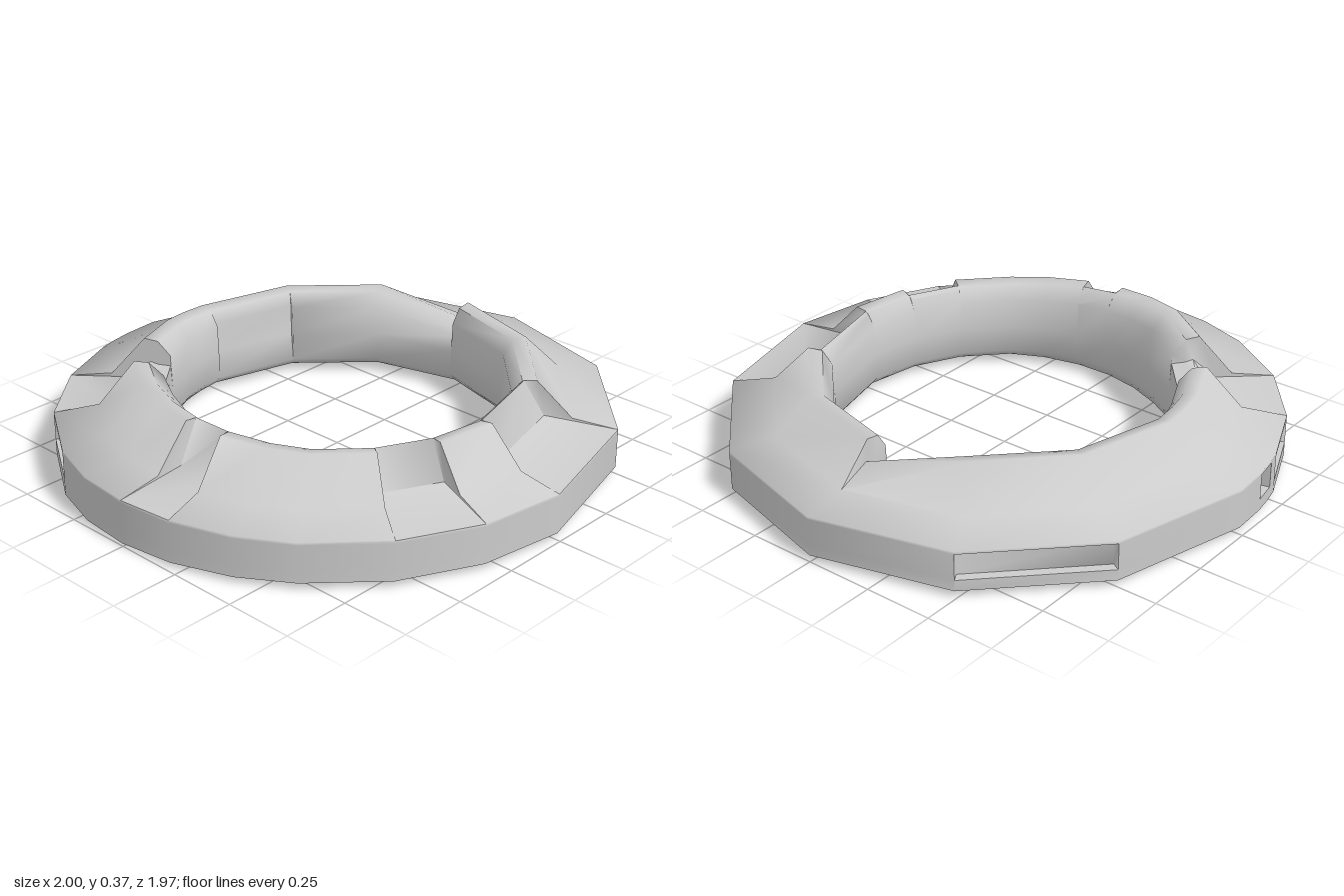
import * as THREE from 'three';
import { toCreasedNormals } from 'three/addons/utils/BufferGeometryUtils.js';

// Cross-section (radius, height): outer wall, sloped top, inner wall, underside
const PROFILE = [
  [1, 0.03], [1, 0.07], [1, 0.07], [1, 0.165], [1, 0.165], [1, 0.175],
  [0.84, 0.2], [0.71, 0.33], [0.66, 0.322], [0.625, 0.27], [0.62, 0.16],
  [0.62, 0.06], [0.645, 0.032], [0.8, 0.03], [1, 0.03],
];

// Offsets (radius, height) that each kind of recess applies to profile points
const RECESS = {
  panel: { 6: [-0.1, 0], 7: [-0.045, -0.005], 8: [-0.01, -0.01] },
  notch: { 6: [-0.06, -0.01], 7: [-0.02, -0.09], 8: [0, -0.09], 9: [0, -0.04] },
  slot: { 2: [-0.035, 0], 3: [-0.035, 0] },
  inner: { 9: [0.025, 0], 10: [0.025, 0] },
  twist: { 7: [0.01, -0.08], 8: [0.03, -0.1], 9: [0.02, -0.06] },
};

// Sectors: start and end angle from the front toward -x, recesses at start and end
const SECTORS = [
  [0, 18], [18, 35.5, ['panel']], [35.5, 53], [53, 65], [65, 78],
  [78, 90, ['panel']], [90, 102], [102, 114], [114, 131, ['slot']],
  [131, 148.5, ['notch']], [148.5, 164, ['slot']], [164, 167],
  [167, 172, ['slot']], [172, 180], [180, 210, ['inner']],
  [210, 240, ['slot']], [240, 270, [], ['twist']], [270, 300],
  [300, 330], [330, 360, ['panel']],
];

// The ring is slightly shallower than wide
const DEPTH = 0.987;

// The ring swells gently on one side
function swell(angle) {
  if (angle < 55 || angle > 180) return 0;
  return angle < 114 ? (angle - 55) / 59 : (180 - angle) / 66;
}

function section(angle, recesses) {
  const a = THREE.MathUtils.degToRad(angle);
  const s = swell(angle);
  return PROFILE.map(([r, y], j) => {
    let radius = r, height = y;
    for (const name of recesses) {
      const offset = RECESS[name][j];
      if (offset) { radius += offset[0]; height += offset[1]; }
    }
    if (r < 0.65) radius -= 0.02 * s;
    if (y > 0.25) height += 0.04 * s;
    if (y < 0.05) height -= 0.025 * s;
    return new THREE.Vector3(-radius * Math.sin(a), height, radius * Math.cos(a) * DEPTH);
  });
}

// Skins the closed ring; paired sections at one angle form the step walls
function loft(sections) {
  const positions = [];
  const ab = new THREE.Vector3(), ac = new THREE.Vector3();
  const triangle = (a, b, c) => {
    ab.subVectors(b, a);
    ac.subVectors(c, a);
    if (ab.cross(ac).length() < 1e-7) return;
    for (const p of [a, b, c]) positions.push(p.x, p.y, p.z);
  };
  sections.forEach((current, i) => {
    const next = sections[(i + 1) % sections.length];
    for (let j = 0; j < PROFILE.length - 1; j++) {
      triangle(current[j], current[j + 1], next[j]);
      triangle(current[j + 1], next[j + 1], next[j]);
    }
  });
  const geometry = new THREE.BufferGeometry();
  geometry.setAttribute('position', new THREE.Float32BufferAttribute(positions, 3));
  return toCreasedNormals(geometry, 1.45);
}

export function createModel() {
  const group = new THREE.Group();
  group.name = 'notchedRing';

  const sections = SECTORS.flatMap(([start, end, first = [], last = first]) => [
    section(start, first), section(end, last),
  ]);

  // Ring with slotted outer wall, recessed top panels and upright inner wall
  const body = new THREE.Mesh(
    loft(sections),
    new THREE.MeshStandardMaterial({ color: 0xcccccc }),
  );
  body.name = 'ringBody';
  group.add(body);
  return group;
}
